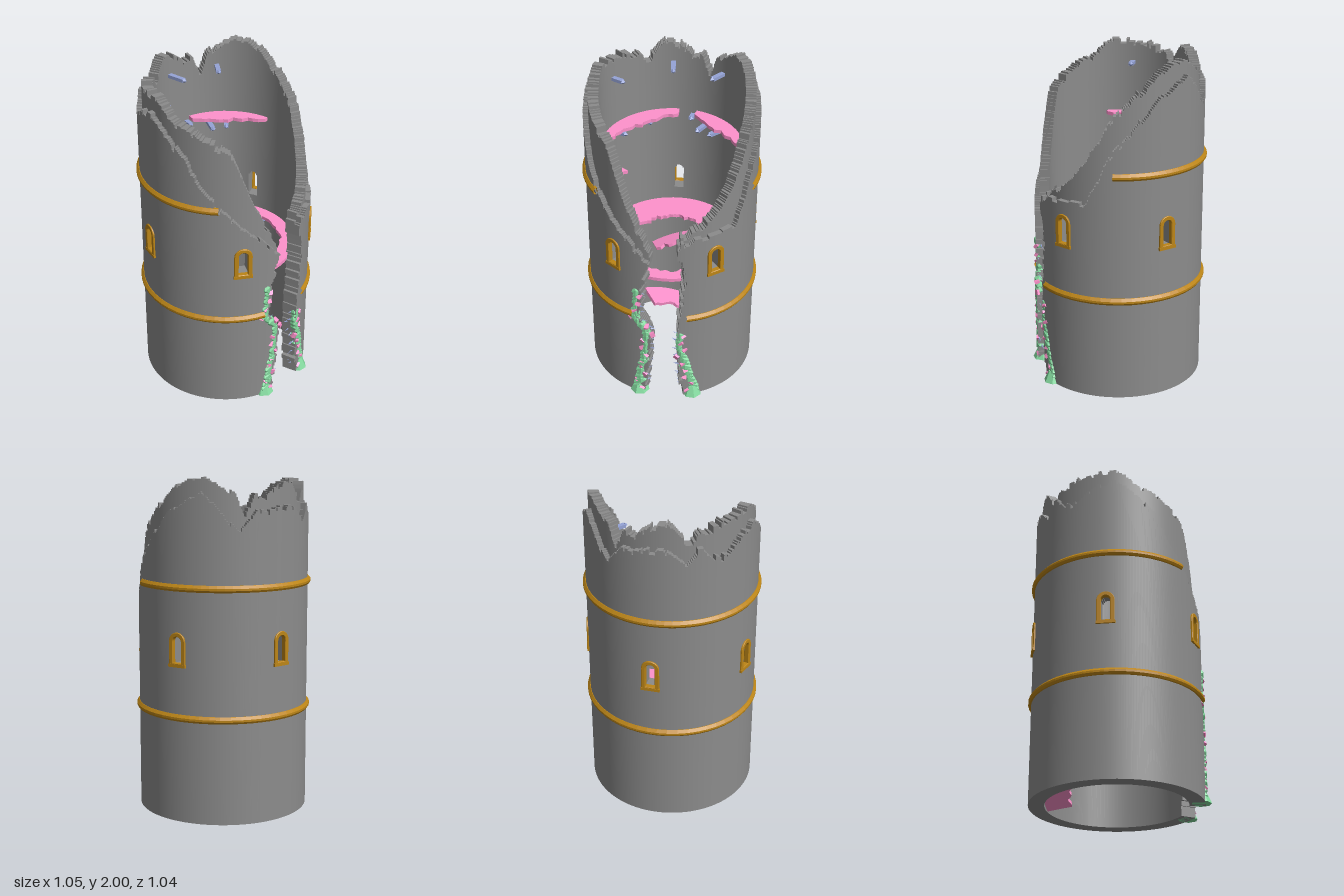
import * as THREE from 'three';

const RO = 0.508, RM = 0.476, RI = 0.415, RAD = Math.PI / 180;
const mat = (color, flat = true) => new THREE.MeshStandardMaterial({ color, flatShading: flat, side: THREE.DoubleSide });
const hash = n => { const s = Math.sin(n * 127.1 + 11.7) * 43758.5453; return s - Math.floor(s); };

// linear lookup in a list of [key, value]
function lookup(t, k) {
  if (k <= t[0][0]) return t[0][1];
  for (let i = 1; i < t.length; i++) if (k <= t[i][0]) {
    const [a, va] = t[i - 1], [b, vb] = t[i];
    return va + (vb - va) * (k - a) / (b - a);
  }
  return t[t.length - 1][1];
}

// broken rim heights by angle in degrees (0 = front, + = left side)
const outerRim = [[-180, 1.83], [-171, 1.83], [-158, 1.75], [-148, 1.83], [-133, 1.74], [-116, 1.84], [-102, 1.86], [-88, 1.79],
  [-74, 1.67], [-65, 1.52], [-52, 1.38], [-30, 1.2], [-12, 1.04], [0, 1.02], [10, 1.15], [20, 1.18], [52, 1.2], [60, 1.33],
  [67, 1.46], [90, 1.7], [101, 1.8], [124, 1.92], [135, 1.85], [149, 1.68], [162, 1.82], [172, 1.8], [180, 1.83]];
const innerRim = [[-180, 1.95], [-169, 1.97], [-155, 1.86], [-144, 1.91], [-125, 1.95], [-100, 1.95], [-85, 1.87], [-60, 1.78],
  [-43, 1.7], [-38, 1.6], [-30, 1.42], [-20, 1.23], [-10, 1.08], [0, 1.1], [13, 1.18], [30, 1.25], [43, 1.34], [57, 1.52],
  [69, 1.68], [90, 1.84], [101, 1.92], [112, 1.98], [124, 2], [136, 1.97], [147, 1.9], [154, 1.76], [161, 1.91], [168, 1.87], [180, 1.95]];
// x of the two edges of the front breach by height
const breachR = [[0, -0.12], [0.2, -0.1], [0.35, -0.09], [0.5, -0.08], [0.6, -0.15], [0.8, -0.14], [1, -0.09], [1.15, -0.07]];
const breachL = [[0, 0.12], [0.2, 0.1], [0.4, 0.08], [0.6, 0.1], [0.8, 0.12], [0.95, 0.13], [1.1, 0.09], [1.18, 0.08]];
const WINDOWS = [-108, -36, 36, 108, 180];

function inWindow(t, y) {
  return WINDOWS.some(w => {
    let d = Math.abs(t - w); d = Math.min(d, 360 - d);
    const x = d * RAD * RO;
    return x < 0.038 && y > 0.935 && (y < 1.07 || Math.hypot(x, y - 1.07) < 0.038);
  });
}
function isSolid(t, y, rim) {
  const block = Math.floor(t / 3 + 0.4 * Math.sin(t));
  if (y > Math.min(2, lookup(rim, t) + (hash(block) - 0.5) * 0.04)) return false;
  const j = (hash(Math.floor(y / 0.03)) - 0.5) * 0.025, x = RO * Math.sin(t * RAD);
  if (Math.abs(t) < 60 && x > lookup(breachR, y) + j && x < lookup(breachL, y) + j) return false;
  return !inWindow(t, y);
}

// two-layer curved masonry made of vertical runs in one degree columns
function wallGeometry() {
  const N = 360, M = 200, dy = 2 / M, pos = [], nor = [];
  const P = (r, t, y) => new THREE.Vector3(r * Math.sin(t), y, r * Math.cos(t));
  const quad = (c, normal) => {
    const n = c.map(normal), f = c[1].clone().sub(c[0]).cross(c[2].clone().sub(c[0]));
    for (const k of f.dot(n[0]) > 0 ? [0, 1, 2, 0, 2, 3] : [0, 2, 1, 0, 3, 2]) { pos.push(...c[k]); nor.push(...n[k]); }
  };
  const runs = (test, emit) => {
    for (let j = 0, s = -1; j <= M; j++) {
      const on = j < M && test(j);
      if (on && s < 0) s = j;
      if (!on && s >= 0) { emit(s * dy, j * dy); s = -1; }
    }
  };
  const grid = rim => Array.from({ length: N }, (_, i) =>
    Array.from({ length: M }, (_, j) => isSolid(i - 179.5, (j + 0.5) * dy, rim)));
  const A = grid(outerRim), B = grid(innerRim);
  for (const [G, other, r0, r1] of [[A, B, RM, RO], [B, A, RI, RM]]) for (let i = 0; i < N; i++) {
    const g = G[i], o = other[i], t0 = (i - 180) * RAD, t1 = t0 + RAD;
    const face = (r, s) => (a, b) => quad([P(r, t0, a), P(r, t1, a), P(r, t1, b), P(r, t0, b)],
      v => new THREE.Vector3(v.x * s, 0, v.z * s).normalize());
    runs(j => g[j] && !(G === B && o[j]), face(r1, 1));
    runs(j => g[j] && !(G === A && o[j]), face(r0, -1));
    for (const [s, t] of [[-1, t0], [1, t1]]) {
      const next = G[(i + s + N) % N];
      runs(j => g[j] && !next[j], (a, b) => quad([P(r0, t, a), P(r1, t, a), P(r1, t, b), P(r0, t, b)],
        () => new THREE.Vector3(s * Math.cos(t), 0, -s * Math.sin(t))));
    }
    runs(j => g[j], (a, b) => [[a, -1], [b, 1]].forEach(([y, s]) =>
      quad([P(r0, t0, y), P(r1, t0, y), P(r1, t1, y), P(r0, t1, y)], () => new THREE.Vector3(0, s, 0))));
  }
  const geo = new THREE.BufferGeometry();
  geo.setAttribute('position', new THREE.Float32BufferAttribute(pos, 3));
  geo.setAttribute('normal', new THREE.Float32BufferAttribute(nor, 3));
  return geo;
}

// ragged slab hugging the inner wall between two angles
function ledgeGeometry(a, b, radius, seed) {
  const shape = new THREE.Shape(), pt = (r, t) => [r * Math.sin(t * RAD), -r * Math.cos(t * RAD)];
  shape.moveTo(...pt(RI, a));
  for (let t = a + 5; t <= b; t += 5) shape.lineTo(...pt(RI, t));
  for (let t = b; t >= a; t -= 5) shape.lineTo(...pt(Math.min(radius(t) + (hash(t + seed) - 0.5) * 0.03, 0.405), t));
  return new THREE.ExtrudeGeometry(shape, { depth: 0.022, bevelEnabled: false }).rotateX(-Math.PI / 2);
}

// arched window surround
function frameGeometry() {
  const arch = (p, w, y0) => {
    p.moveTo(-w, y0); p.lineTo(w, y0); p.lineTo(w, 1.07);
    p.absarc(0, 1.07, w, 0, Math.PI, false); p.lineTo(-w, y0);
    return p;
  };
  const s = arch(new THREE.Shape(), 0.05, 0.925);
  s.holes.push(arch(new THREE.Path(), 0.031, 0.942));
  return new THREE.ExtrudeGeometry(s, { depth: 0.026, bevelEnabled: true, bevelSize: 0.003, bevelThickness: 0.003, bevelSegments: 1, curveSegments: 8 });
}

export function createModel() {
  const model = new THREE.Group();
  const gold = mat(0xbc8517), pink = mat(0xff92cc), blue = mat(0x95a3d6), green = mat(0x85dba0);
  const add = (name, geo, m, parent = model) => {
    const mesh = new THREE.Mesh(geo, m);
    mesh.name = name;
    parent.add(mesh);
    return mesh;
  };
  const group = name => { const g = new THREE.Group(); g.name = name; model.add(g); return g; };

  add('ruinedWall', wallGeometry(), mat(0x8c8c8c, false));

  // gold string courses
  for (const [name, y, a, b] of [['lowerBand', 0.625, 16, 339], ['upperBand', 1.38, 71, 308]]) {
    const profile = [[0.5, -0.02], [0.518, -0.02], [0.526, -0.008], [0.526, 0.004], [0.512, 0.02], [0.5, 0.02], [0.5, -0.02]];
    add(name, new THREE.LatheGeometry(profile.map(p => new THREE.Vector2(...p)), 48, a * RAD, (b - a) * RAD), gold).position.y = y;
  }

  // windows
  const frame = frameGeometry(), sill = new THREE.BoxGeometry(0.112, 0.018, 0.036);
  for (const w of WINDOWS) {
    const g = group('window');
    add('windowFrame', frame, gold, g).position.z = 0.487;
    add('windowSill', sill, gold, g).position.set(0, 0.93, 0.5);
    g.rotation.y = w * RAD;
  }

  // remains of the floors: name, from, to, inner radius, height, tilt
  const back = t => 0.34 - 0.12 * Math.max(0, Math.min(1, (Math.abs(t) - 85) / 50));
  [['groundFloor', 155, 215, () => 0.27, 0.055, -0.3], ['lowerFloor', 155, 205, () => 0.32, 0.555, 0.35],
    ['middleFloor', -180, 180, back, 0.835, 0], ['sideLedge', -125, -80, () => 0.37, 1.16, 0],
    ['upperFloorRight', -180, -95, t => 0.29 + 0.08 * Math.abs(t + 140) / 45, 1.5, 0],
    ['upperFloorLeft', 95, 165, t => 0.3 + 0.08 * Math.abs(t - 135) / 40, 1.5, 0],
  ].forEach(([name, a, b, radius, y, tilt], i) => {
    const floor = add(name, ledgeGeometry(a, b, radius, i + 3), pink);
    floor.position.y = y;
    floor.rotation.z = tilt;
  });

  // broken beams: angle, height, length
  const beams = group('brokenBeams');
  for (const [t, y, len] of [[185, 1.84, 0.12], [140, 1.83, 0.1], [-118, 1.83, 0.08], [150, 1.49, 0.17], [168, 1.49, 0.06],
    [132, 1.49, 0.15], [-115, 1.49, 0.1], [-150, 1.49, 0.1], [-95, 0.82, 0.14], [-75, 0.82, 0.1],
    [92, 0.82, 0.08], [-110, 0.82, 0.15]]) {
    const g = new THREE.Group();
    add('beam', new THREE.BoxGeometry(0.028, 0.02, len), blue, g).position.set(0, y, RI + 0.01 - len / 2);
    const tip = add('beamTip', new THREE.ConeGeometry(0.016, 0.02, 4), blue, g);
    tip.rotation.x = -Math.PI / 2;
    tip.position.set(0, y, RI - len);
    g.rotation.y = t * RAD;
    beams.add(g);
  }
  add('crossBeam', new THREE.BoxGeometry(0.24, 0.016, 0.03), blue, beams).position.set(0, 0.82, -0.36);
  // boards lying along the wall on the middle floor
  for (const t of [-45, -80]) {
    const board = add('fallenBoard', new THREE.BoxGeometry(0.1, 0.014, 0.025), blue, beams);
    board.position.set(0.395 * Math.sin(t * RAD), 0.86, 0.395 * Math.cos(t * RAD));
    board.rotation.y = t * RAD;
  }

  // moss, chips and splinters on the breach edges
  const lump = new THREE.IcosahedronGeometry(1, 0), chip = new THREE.BoxGeometry(1, 1, 1), spike = new THREE.ConeGeometry(0.009, 0.06, 4);
  for (const [side, edge, top, spread] of [[-1, breachR, 0.82, 0.02], [1, breachL, 0.5, 0.045]]) {
    const g = group(side < 0 ? 'rightBreachGrowth' : 'leftBreachGrowth');
    for (let y = 0.04, i = 1; y < top; y += 0.028, i++) {
      const h = k => hash(i * 7 + k + side * 31), x = lookup(edge, y) + side * 0.012;
      const wide = spread * Math.max(0, 1 - y / 0.4);
      const put = (m, dx, r) => m.position.set(x + dx, y, Math.sqrt(r * r - (x + dx) ** 2));
      const moss = add('moss', lump, green, g);
      moss.scale.set(0.022 + 0.012 * h(1) + wide * 0.7, 0.036, 0.022 + 0.012 * h(2));
      put(moss, side * (0.012 * h(3) + wide), 0.493);
      if (i % 2) {
        const c = add('chip', chip, pink, g);
        c.scale.set(0.032, 0.016, 0.028);
        c.rotation.set(h(4), h(5) * 3, h(6));
        put(c, side * wide + (h(7) - 0.5) * 0.06, 0.505);
      }
      if (i % 3 !== 1) {
        const s = add('splinter', spike, blue, g);
        s.rotation.set(h(8) - 0.5, 0, side * (Math.PI / 2 + h(9) - 0.5));
        put(s, -side * 0.02, 0.44 + 0.06 * h(10));
      }
    }
    // mossy foot
    const foot = add('mossFoot', new THREE.CylinderGeometry(0.03, 0.06, 0.065, 7), green, g);
    foot.position.set(side * (0.13 + spread), 0.0325, 0.46);
    foot.rotation.y = side * 0.35;
  }
  return model;
}
